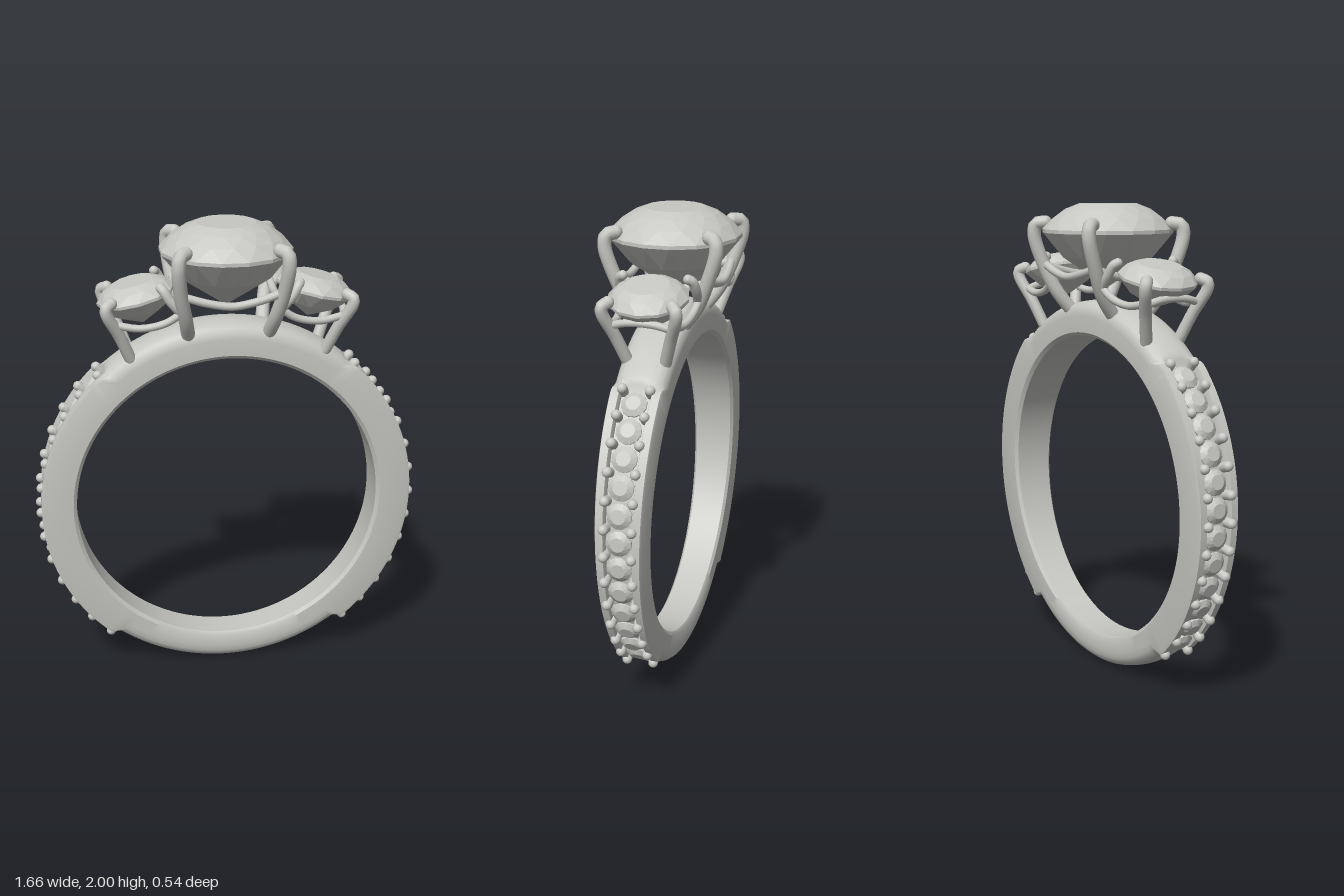
import * as THREE from 'three';
import { toCreasedNormals } from 'three/addons/utils/BufferGeometryUtils.js';
import { ConvexGeometry } from 'three/addons/geometries/ConvexGeometry.js';

const CY = 0.79; // height of the band's centre
const silver = new THREE.MeshStandardMaterial({ color: 0xc6c6c2 });
silver.name = 'silver grey';

function add(parent, geometry, name) {
  const mesh = new THREE.Mesh(geometry, silver);
  mesh.name = name;
  parent.add(mesh);
  return mesh;
}

// Faceted stone: rings of [radius, height], alternate rings turned half a step
function gem(rings, n) {
  const pts = [];
  rings.forEach(([r, y, turn]) => {
    for (let i = 0; i < (r ? n : 1); i++) {
      const a = (i + turn * 0.5) / n * Math.PI * 2;
      pts.push(new THREE.Vector3(r * Math.cos(a), y, r * Math.sin(a)));
    }
  });
  return new ConvexGeometry(pts);
}

// Band: half cross-sections as [fraction of half width, radius]
const ROUND = [[1, 0.74], [0.97, 0.765], [0.85, 0.785], [0.65, 0.797], [0.4, 0.802], [0.2, 0.804], [0, 0.805]];
const CHANNEL = [[1, 0.793], [0.95, 0.805], [0.63, 0.805], [0.61, 0.8], [0.58, 0.775], [0.3, 0.775], [0, 0.775]];

function bandGeometry() {
  const steps = 240, pos = [], index = [];
  let m = 0;
  for (let i = 0; i < steps; i++) {
    const t = i / steps * Math.PI * 2, s = Math.sin(t);
    const w = 0.094 + 0.017 * s;
    const lat = THREE.MathUtils.radToDeg(Math.asin(s));
    const c = THREE.MathUtils.smoothstep(lat, -53, -49) * (1 - THREE.MathUtils.smoothstep(lat, 47, 51));
    const half = ROUND.map(([z, r], k) => [
      THREE.MathUtils.lerp(z, CHANNEL[k][0], c) * w,
      THREE.MathUtils.lerp(r - 0.015 * Math.max(0, -s), CHANNEL[k][1], c),
    ]);
    const section = [
      ...half,
      ...half.slice(0, -1).reverse().map(([z, r]) => [-z, r]),
      [-w, 0.67], [-w * 0.87, 0.655], [w * 0.87, 0.655], [w, 0.67],
    ];
    m = section.length;
    section.forEach(([z, r]) => pos.push(r * Math.cos(t), CY + r * s, z));
  }
  for (let i = 0; i < steps; i++) {
    for (let j = 0; j < m; j++) {
      const i2 = (i + 1) % steps, j2 = (j + 1) % m;
      const a = i * m + j, b = i * m + j2, c = i2 * m + j, d = i2 * m + j2;
      index.push(a, b, c, b, d, c);
    }
  }
  const geo = new THREE.BufferGeometry();
  geo.setAttribute('position', new THREE.Float32BufferAttribute(pos, 3));
  geo.setIndex(index);
  return toCreasedNormals(geo, 0.6);
}

// Round wire through points, mirrored by the signs sx and sz, with ball ends
function wire(parent, pts, radius, name, sx = 1, sz = 1) {
  const v = pts.map(([x, y, z]) => new THREE.Vector3(x * sx, y, z * sz));
  const g = new THREE.Group();
  g.name = name;
  add(g, new THREE.TubeGeometry(new THREE.CatmullRomCurve3(v), 28, radius, 12), name + 'Wire');
  for (const p of [v[0], v[v.length - 1]]) {
    add(g, new THREE.SphereGeometry(radius, 12, 8), name + 'End').position.copy(p);
  }
  parent.add(g);
}

export function createModel() {
  const ring = new THREE.Group();
  ring.name = 'ring';
  add(ring, bandGeometry(), 'band');

  // Centre stone
  const centre = add(ring, gem([
    [0.125, 0.11, 0], [0.18, 0.088, 1], [0.232, 0.052, 0], [0.277, 0.005, 1],
    [0.277, -0.01, 1], [0.19, -0.115, 0], [0, -0.24, 0],
  ], 16), 'centreStone');
  centre.position.y = 1.89;

  // Side stones, tilted outwards
  const sideGem = gem([
    [0.09, 0.058, 0], [0.132, 0.038, 1], [0.165, 0.006, 0],
    [0.165, -0.006, 0], [0.11, -0.065, 1], [0, -0.125, 0],
  ], 12);
  for (const sx of [1, -1]) {
    const stone = add(ring, sideGem, 'sideStone');
    stone.position.set(0.375 * sx, 1.71, 0);
    stone.rotation.z = -0.23 * sx;
  }

  // Prongs and gallery wires
  for (const sx of [1, -1]) {
    for (const sz of [1, -1]) {
      wire(ring, [[0.165, 1.53, 0.07], [0.185, 1.63, 0.145], [0.21, 1.75, 0.197],
        [0.222, 1.87, 0.232], [0.216, 1.912, 0.226], [0.19, 1.92, 0.195]], 0.029, 'centreProng', sx, sz);
      wire(ring, [[0.41, 1.46, 0.08], [0.455, 1.57, 0.115], [0.505, 1.67, 0.15],
        [0.508, 1.695, 0.15], [0.485, 1.71, 0.13]], 0.025, 'outerProng', sx, sz);
      wire(ring, [[0.2, 1.66, 0.155], [0.25, 1.72, 0.158], [0.275, 1.76, 0.15],
        [0.285, 1.77, 0.135]], 0.02, 'innerProng', sx, sz);
      wire(ring, [[0.2, 1.67, 0.16], [0.27, 1.625, 0.15], [0.37, 1.605, 0.14],
        [0.475, 1.62, 0.125]], 0.016, 'sideRail', sx, sz);
    }
    wire(ring, [[0.475, 1.615, 0.125], [0.485, 1.632, 0.06], [0.487, 1.636, 0],
      [0.485, 1.632, -0.06], [0.475, 1.615, -0.125]], 0.016, 'endRail', sx);
    wire(ring, [[0.205, 1.74, 0.19], [0.205, 1.71, 0.09], [0.205, 1.695, 0],
      [0.205, 1.71, -0.09], [0.205, 1.74, -0.19]], 0.017, 'crossRail', sx);
    wire(ring, [[0.205, 1.745, 0.19], [0.1, 1.715, 0.2], [0, 1.7, 0.203],
      [-0.1, 1.715, 0.2], [-0.205, 1.745, 0.19]], 0.017, 'centreRail', 1, sx);
  }

  // Rows of small stones held by beads on both shoulders
  const smallGem = gem([[0.03, 0.016, 0], [0.053, 0, 1], [0.053, -0.006, 1], [0, -0.04, 0]], 12);
  const bead = new THREE.CapsuleGeometry(0.021, 0.035, 5, 12);
  for (const sx of [1, -1]) {
    const row = new THREE.Group();
    row.name = sx > 0 ? 'leftStoneRow' : 'rightStoneRow';
    ring.add(row);
    const place = (mesh, deg, r, z) => {
      const a = THREE.MathUtils.degToRad(deg);
      mesh.position.set(sx * r * Math.cos(a), CY + r * Math.sin(a), z);
      mesh.rotation.z = sx * (a - Math.PI / 2);
    };
    for (let i = 0; i < 13; i++) {
      const deg = 47.5 - i * 8.07;
      for (const z of [0.057, -0.057]) place(add(row, bead, 'bead'), deg, 0.79, z);
      if (i < 12) place(add(row, smallGem, 'smallStone'), deg - 4.03, 0.789, 0);
    }
  }
  return ring;
}
